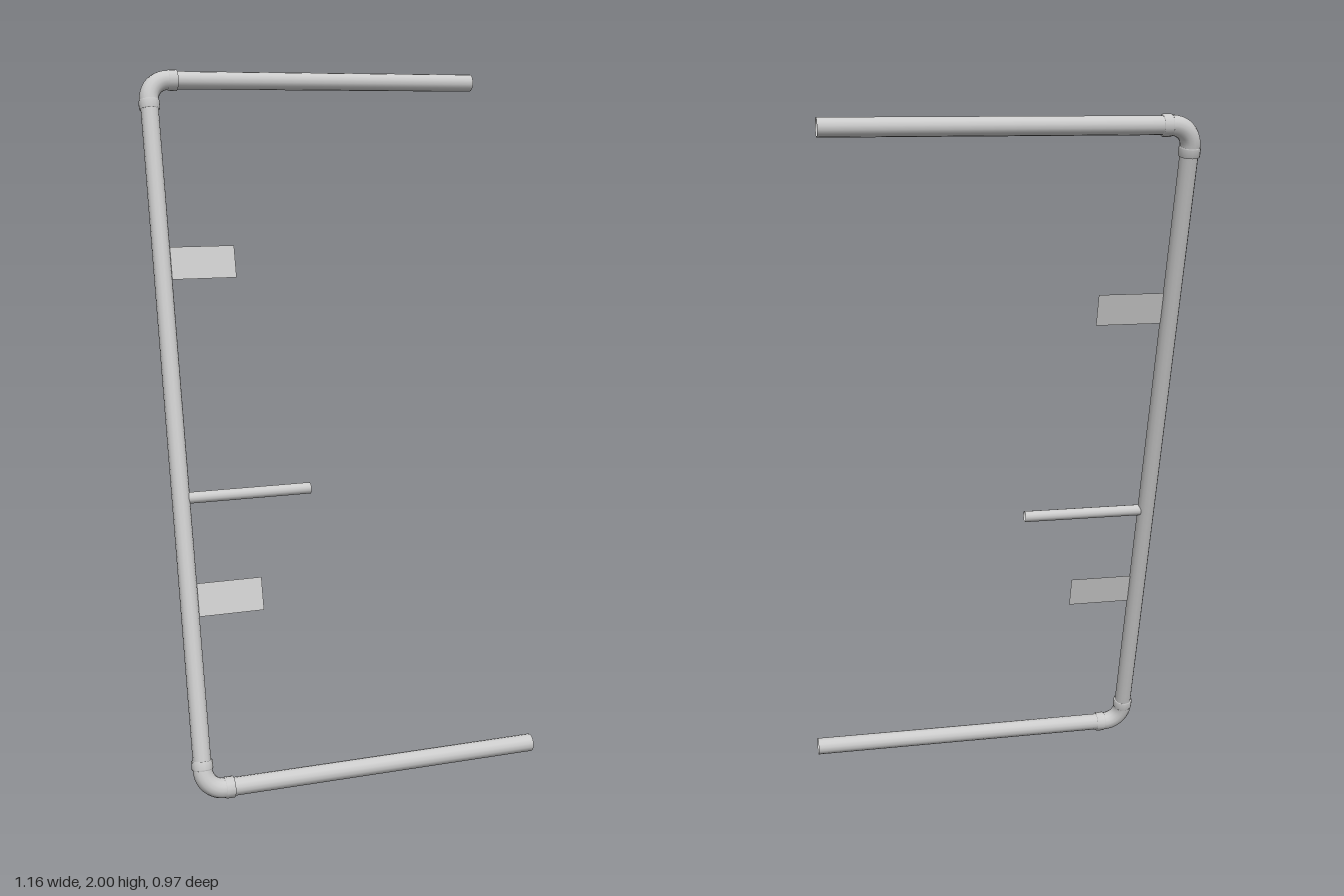
import * as THREE from 'three';

const material = new THREE.MeshStandardMaterial({ color: 0xcccccc, side: THREE.DoubleSide });
const PIPE = 0.0255, SOCKET = 0.03, BEND = 0.058, SIDES = 14;

export function createModel() {
  const model = new THREE.Group();
  model.name = 'pullHandleFrame';

  // Frame plane: x runs along the arms, y along the leaning pole
  const bottom = new THREE.Vector3(-0.312, 0.032, 0.47);
  const top = new THREE.Vector3(-0.56, 1.968, 0.014);
  const length = top.distanceTo(bottom);
  const poleAxis = top.clone().sub(bottom).normalize();
  const armAxis = new THREE.Vector3(0.878, 0, -0.478).normalize();
  const normal = armAxis.clone().cross(poleAxis).normalize();
  const frame = new THREE.Group();
  frame.name = 'frame';
  frame.quaternion.setFromRotationMatrix(new THREE.Matrix4().makeBasis(armAxis, poleAxis, normal));
  frame.position.copy(bottom);
  model.add(frame);

  const add = (name, geometry, parent = frame) => {
    const mesh = new THREE.Mesh(geometry, material);
    mesh.name = name;
    parent.add(mesh);
    return mesh;
  };

  // Open tubes along the pole (y) or along an arm (x)
  const tubeY = (name, x, y0, y1, r, parent) => {
    const mesh = add(name, new THREE.CylinderGeometry(r, r, y1 - y0, SIDES, 1, true), parent);
    mesh.position.set(x, (y0 + y1) / 2, 0);
  };
  const tubeX = (name, x0, x1, y, r, parent) => {
    const mesh = add(name, new THREE.CylinderGeometry(r, r, x1 - x0, SIDES, 1, true), parent);
    mesh.rotation.z = -Math.PI / 2;
    mesh.position.set((x0 + x1) / 2, y, 0);
  };

  // Main pole and the two arms
  tubeY('pole', 0, BEND, length - BEND, PIPE);
  tubeX('lowerArm', BEND, 1, 0, PIPE);
  tubeX('upperArm', BEND, 1, length, PIPE);

  // Elbow fittings: a quarter bend with a socket collar at each end
  for (const [name, y, turn] of [['lowerElbow', 0, 0], ['upperElbow', length, -Math.PI / 2]]) {
    const elbow = new THREE.Group();
    elbow.name = name;
    elbow.position.y = y;
    elbow.rotation.z = turn;
    frame.add(elbow);
    const bend = add('bend', new THREE.TorusGeometry(BEND, 0.028, SIDES, 10, Math.PI / 2), elbow);
    bend.rotation.z = Math.PI;
    bend.position.set(BEND, BEND, 0);
    const collar = [[0.028, 0], [SOCKET, 0.003], [SOCKET, 0.026], [PIPE, 0.026]]
      .map(([r, h]) => new THREE.Vector2(r, h));
    add('poleCollar', new THREE.LatheGeometry(collar, SIDES), elbow).position.y = BEND;
    const side = add('armCollar', new THREE.LatheGeometry(collar, SIDES), elbow);
    side.rotation.z = -Math.PI / 2;
    side.position.x = BEND;
  }

  // Thin peg between the arms
  tubeX('peg', 0.01, 0.38, 0.812, 0.0165);

  // Flat mounting tabs
  for (const [name, y] of [['lowerTab', 0.525], ['upperTab', 1.477]]) {
    const tab = add(name, new THREE.PlaneGeometry(0.195, 0.093), frame);
    tab.position.set(0.1165, y, 0);
  }
  return model;
}
